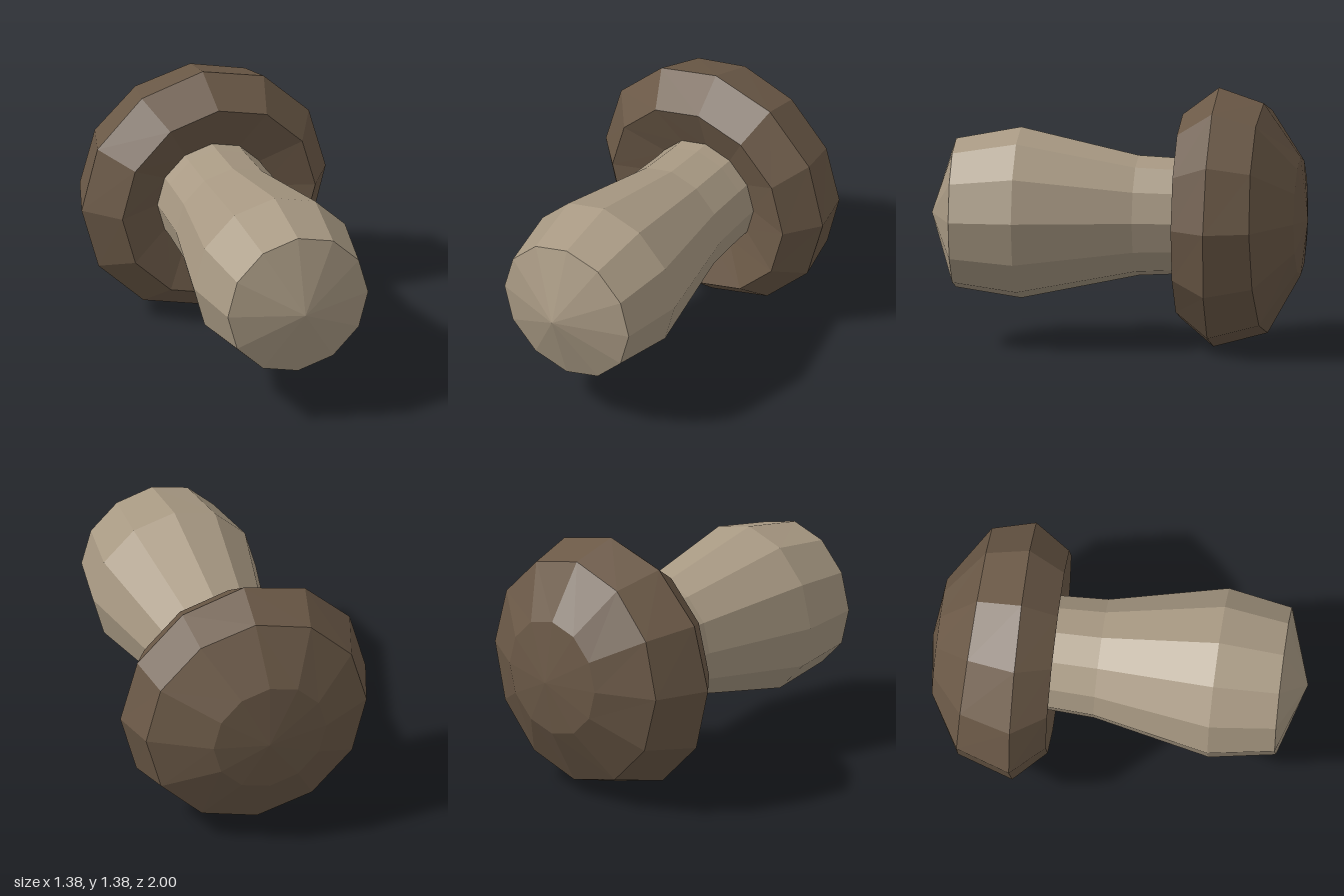
import * as THREE from 'three';

const SIDES = 12;

// Skin a row of rings given as [z, radius, centreX, centreY, tiltX, tiltY], listed front to back.
function ringSkin(rings) {
  const positions = [];
  const index = [];
  for (const [z, r, cx, cy, tx = 0, ty = 0] of rings) {
    for (let i = 0; i < SIDES; i++) {
      const a = (i / SIDES) * Math.PI * 2;
      const s = Math.sin(a), c = Math.cos(a);
      positions.push(cx + r * s, cy + r * c, z + tx * s + ty * c);
    }
  }
  for (let k = 0; k < rings.length - 1; k++) {
    for (let i = 0; i < SIDES; i++) {
      const j = (i + 1) % SIDES;
      const f0 = k * SIDES + i, f1 = k * SIDES + j;
      const b0 = f0 + SIDES, b1 = f1 + SIDES;
      if (rings[k][1] > 0) index.push(f0, f1, b0);
      if (rings[k + 1][1] > 0) index.push(f1, b1, b0);
    }
  }
  const geometry = new THREE.BufferGeometry();
  geometry.setAttribute('position', new THREE.Float32BufferAttribute(positions, 3));
  geometry.setIndex(index);
  const flat = geometry.toNonIndexed();
  flat.computeVertexNormals();
  return flat;
}

export function createModel() {
  const stemMaterial = new THREE.MeshStandardMaterial({ color: 0xa89983 });
  stemMaterial.name = 'pale stem';
  const capMaterial = new THREE.MeshStandardMaterial({ color: 0x6b5947 });
  capMaterial.name = 'brown cap';

  const group = new THREE.Group();
  group.name = 'mushroom';

  // Bulging stem with a pointed foot, running into the cap
  const stem = new THREE.Mesh(ringSkin([
    [1.0, 0, 0.01, 0.69],
    [0.87, 0.397, 0.015, 0.69, -0.005],
    [0.525, 0.456, 0.012, 0.697],
    [-0.1, 0.32, 0.008, 0.692],
    [-0.34, 0.308, 0.008, 0.692],
    [-0.46, 0.308, 0.008, 0.692],
  ]), stemMaterial);
  stem.name = 'stem';
  group.add(stem);

  // Domed cap with a hollow underside
  const cap = new THREE.Mesh(ringSkin([
    [-0.42, 0.29, 0.008, 0.692],
    [-0.33, 0.545, 0.015, 0.691, -0.006, -0.004],
    [-0.51, 0.691, -0.004, 0.688, -0.012, -0.015],
    [-0.775, 0.612, 0.015, 0.69, 0.015, 0.01],
    [-0.96, 0.315, 0.005, 0.702],
    [-1.0, 0, 0.02, 0.68],
  ]), capMaterial);
  cap.name = 'cap';
  group.add(cap);

  return group;
}
